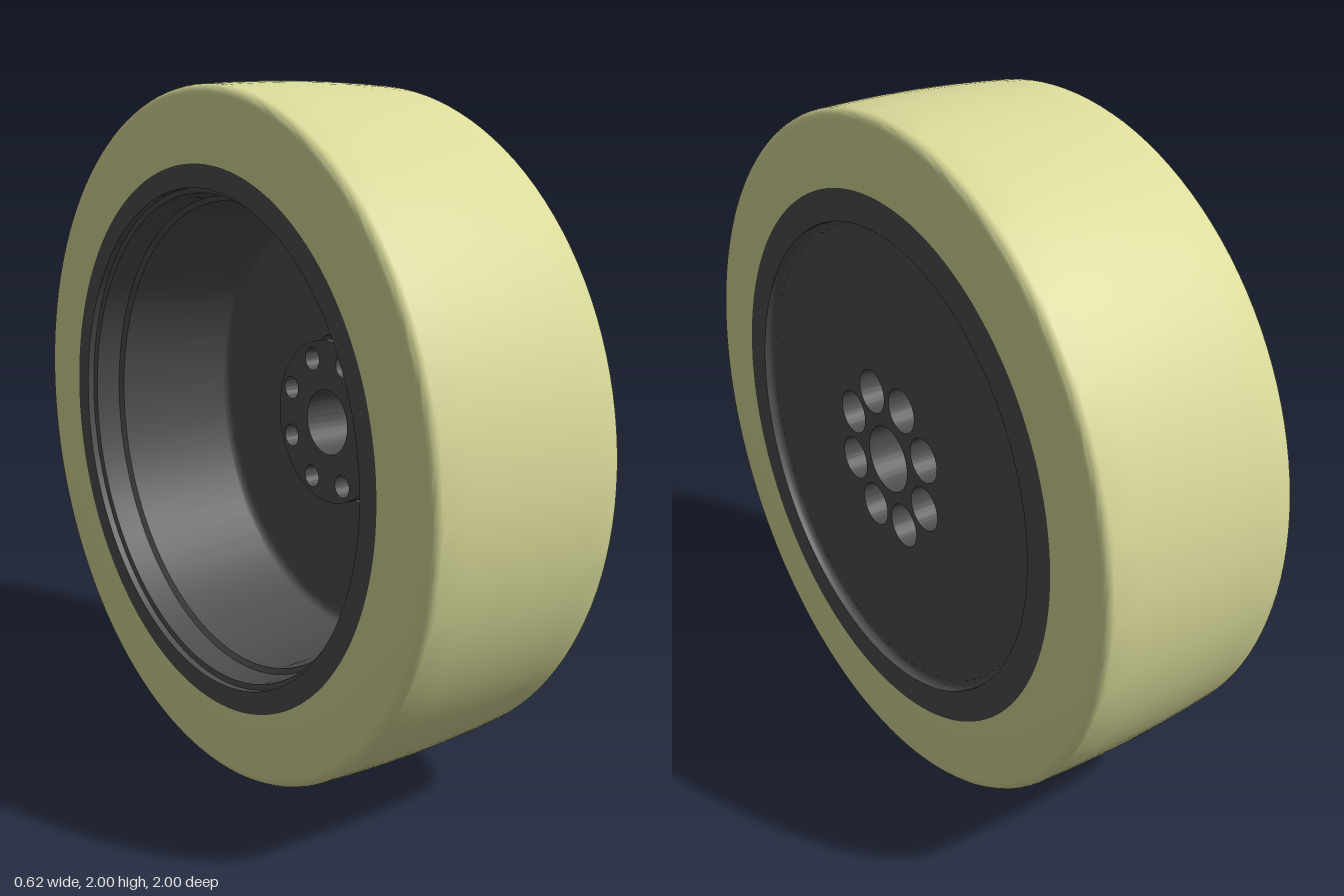
import * as THREE from 'three';
import { toCreasedNormals } from 'three/addons/utils/BufferGeometryUtils.js';

const SEGMENTS = 128;

// Revolve a list of [radius, x] points about the wheel axle (x axis)
function revolve(points) {
  const profile = points.map(([r, x]) => new THREE.Vector2(r, x));
  const geometry = new THREE.LatheGeometry(profile, SEGMENTS);
  geometry.rotateZ(-Math.PI / 2);
  return toCreasedNormals(geometry, 0.5);
}

// Points on a fillet of radius f around [r, x], from angle a to b in degrees
function fillet(r, x, f, a, b, steps = 6) {
  return Array.from({ length: steps + 1 }, (_, i) => {
    const t = THREE.MathUtils.degToRad(a + ((b - a) * i) / steps);
    return [r + f * Math.cos(t), x + f * Math.sin(t)];
  });
}

// Round plate from x0 to x1 with an axle bore and a ring of eight bolt holes
function drilledPlate(radius, boltRadius, x0, x1) {
  const shape = new THREE.Shape();
  shape.absarc(0, 0, radius, 0, Math.PI * 2, false);
  const addHole = (x, y, r) => {
    const hole = new THREE.Path();
    hole.absarc(x, y, r, 0, Math.PI * 2, true);
    shape.holes.push(hole);
  };
  addHole(0, 0, 0.1);
  for (let i = 0; i < 8; i++) {
    const a = ((i + 0.5) * Math.PI) / 4;
    addHole(0.2 * Math.cos(a), 0.2 * Math.sin(a), boltRadius);
  }
  const geometry = new THREE.ExtrudeGeometry(shape, {
    depth: x1 - x0, bevelEnabled: false, curveSegments: 48,
  });
  geometry.rotateY(Math.PI / 2);
  geometry.translate(x0, 0, 0);
  return toCreasedNormals(geometry, 0.5);
}

export function createModel() {
  const tread = new THREE.MeshStandardMaterial({ color: 0xdadb9a });
  tread.name = 'pale yellow tread';
  const metal = new THREE.MeshStandardMaterial({ color: 0x505050 });
  metal.name = 'dark grey metal';

  const wheel = new THREE.Group();
  wheel.name = 'wheel';
  wheel.position.y = 1;
  const add = (name, geometry, material) => {
    const mesh = new THREE.Mesh(geometry, material);
    mesh.name = name;
    wheel.add(mesh);
  };

  // Tyre with rounded shoulders and a slightly crowned tread
  const crown = [-0.2, -0.1, 0, 0.1, 0.2].map((x) => [1 - 0.13 * x * x, x]);
  add('tyre', revolve([
    [0.78, -0.31],
    ...fillet(0.96, -0.28, 0.03, -90, 0),
    ...crown,
    ...fillet(0.96, 0.28, 0.03, 0, 90),
    [0.78, 0.31],
  ]), tread);

  // Outer rim face with the rounded edge of the shallow recess
  add('outerRim', revolve([
    [0.78, 0.31], [0.69, 0.31],
    ...fillet(0.67, 0.3, 0.02, 0, -90),
  ]), metal);

  // Deep inner barrel, from the web out to the stepped lip
  add('innerBarrel', revolve([
    [0.63, 0.2],
    ...fillet(0.63, 0.17, 0.03, 90, 0),
    [0.675, -0.2], [0.69, -0.21], [0.7, -0.285], [0.715, -0.29],
    [0.715, -0.31], [0.78, -0.31],
  ]), metal);

  // Web with counterbores, and the raised hub boss behind it
  add('web', drilledPlate(0.67, 0.065, 0.2, 0.28), metal);
  add('hubBoss', drilledPlate(0.25, 0.035, 0.13, 0.2), metal);

  const model = new THREE.Group();
  model.name = 'wheelModel';
  model.add(wheel);
  return model;
}
